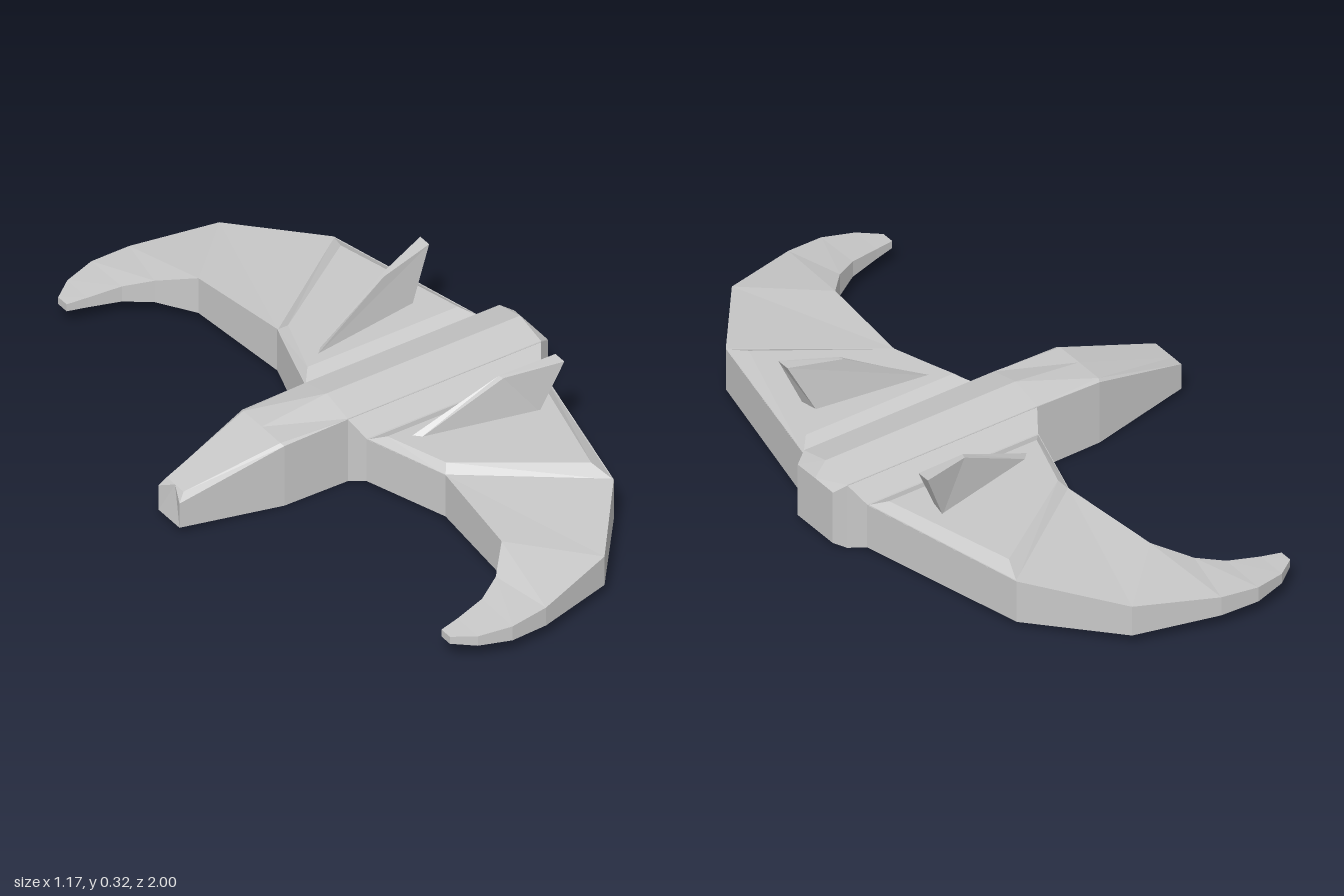
import * as THREE from 'three';

// Closed faceted skin through rings of [x, y, z] points, capped at both ends.
function loft(rings) {
  const tris = [];
  const n = rings[0].length;
  for (let i = 0; i < rings.length - 1; i++) {
    for (let j = 0; j < n; j++) {
      const k = (j + 1) % n;
      const [a, b, c, d] = [rings[i][j], rings[i][k], rings[i + 1][k], rings[i + 1][j]];
      tris.push([a, b, c], [a, c, d]);
    }
  }
  const first = rings[0], last = rings[rings.length - 1];
  for (let j = 1; j < n - 1; j++) {
    tris.push([first[0], first[j + 1], first[j]], [last[0], last[j], last[j + 1]]);
  }
  // Turn the skin outward if its signed volume is negative
  let volume = 0;
  for (const [a, b, c] of tris) {
    volume += new THREE.Vector3(...a).dot(new THREE.Vector3(...b).cross(new THREE.Vector3(...c)));
  }
  if (volume < 0) tris.forEach((t) => t.reverse());
  const geometry = new THREE.BufferGeometry();
  geometry.setAttribute('position', new THREE.Float32BufferAttribute(tris.flat(2), 3));
  geometry.computeVertexNormals(); // unshared corners give flat facets
  return geometry;
}

// Hull section: ridge, shoulders, upper sides and floor
function hullRing(xTop, xSide, ridge, shoulderW, shoulderY, w, sideY, floorY) {
  return [
    [xTop, ridge, 0],
    [xTop, shoulderY, shoulderW],
    [xSide, sideY, w],
    [xSide, floorY, w],
    [xSide, floorY, -w],
    [xSide, sideY, -w],
    [xTop, shoulderY, -shoulderW],
  ];
}

// Wing station: leading and trailing edge, each as x, z, top y, bottom y
function wingRing([lx, lz, lt, lb], [tx, tz, tt, tb]) {
  return [[lx, lt, lz], [tx, tt, tz], [tx, tb, tz], [lx, lb, lz]];
}

export function createModel() {
  const model = new THREE.Group();
  model.name = 'spacecraft';
  const grey = new THREE.MeshStandardMaterial({ color: 0xc8c8c8 });
  grey.name = 'hull grey';

  const add = (name, rings, parent) => {
    const mesh = new THREE.Mesh(loft(rings), grey);
    mesh.name = name;
    parent.add(mesh);
  };

  // Fuselage, nose to tail
  add('fuselage', [
    hullRing(-0.565, -0.585, 0.13, 0.04, 0.13, 0.05, 0.105, 0.025),
    hullRing(-0.285, -0.28, 0.206, 0.088, 0.205, 0.1, 0.2, 0.003),
    hullRing(-0.075, -0.075, 0.23, 0.099, 0.206, 0.1, 0.204, 0),
    hullRing(0.55, 0.55, 0.23, 0.099, 0.206, 0.1, 0.204, 0),
    hullRing(0.585, 0.585, 0.186, 0.079, 0.185, 0.08, 0.183, 0.02),
  ], model);

  // Crescent wing, root to tip
  const wing = [
    wingRing([-0.075, 0.099, 0.204, 0], [0.55, 0.099, 0.204, 0]),
    wingRing([-0.045, 0.145, 0.155, 0.015], [0.518, 0.145, 0.155, 0.015]),
    wingRing([0.037, 0.4, 0.155, 0.018], [0.4, 0.665, 0.152, 0.02]),
    wingRing([0, 0.72, 0.145, 0.03], [0.2, 0.915, 0.13, 0.036]),
    wingRing([-0.08, 0.81, 0.115, 0.044], [-0.04, 0.99, 0.105, 0.046]),
    wingRing([-0.155, 0.855, 0.1, 0.05], [-0.155, 1, 0.096, 0.05]),
    wingRing([-0.25, 0.878, 0.088, 0.056], [-0.25, 0.975, 0.087, 0.056]),
    wingRing([-0.31, 0.89, 0.083, 0.06], [-0.31, 0.93, 0.083, 0.06]),
  ];

  // Raised bevelled panel on the wing root
  const panel = [
    [[-0.045, 0.153, 0.146], [0.518, 0.153, 0.146], [0.4, 0.15, 0.665], [0.037, 0.153, 0.4]],
    [[-0.008, 0.175, 0.19], [0.478, 0.175, 0.19], [0.375, 0.175, 0.595], [0.055, 0.175, 0.375]],
  ];

  // Swept fin, splayed outward and thickest at its trailing edge
  const fin = [
    [[0.04, 0.17, 0.222], [0.385, 0.17, 0.27], [0.395, 0.17, 0.32], [0.06, 0.17, 0.242]],
    [[0.295, 0.3, 0.272], [0.46, 0.322, 0.3], [0.46, 0.322, 0.342], [0.3, 0.3, 0.288]],
  ];

  for (const side of [1, -1]) {
    const half = new THREE.Group();
    half.name = side > 0 ? 'leftWing' : 'rightWing';
    const mirror = (rings) => rings.map((r) => r.map(([x, y, z]) => [x, y, z * side]));
    add('wing', mirror(wing), half);
    add('wingPanel', mirror(panel), half);
    add('fin', mirror(fin), half);
    model.add(half);
  }
  return model;
}
